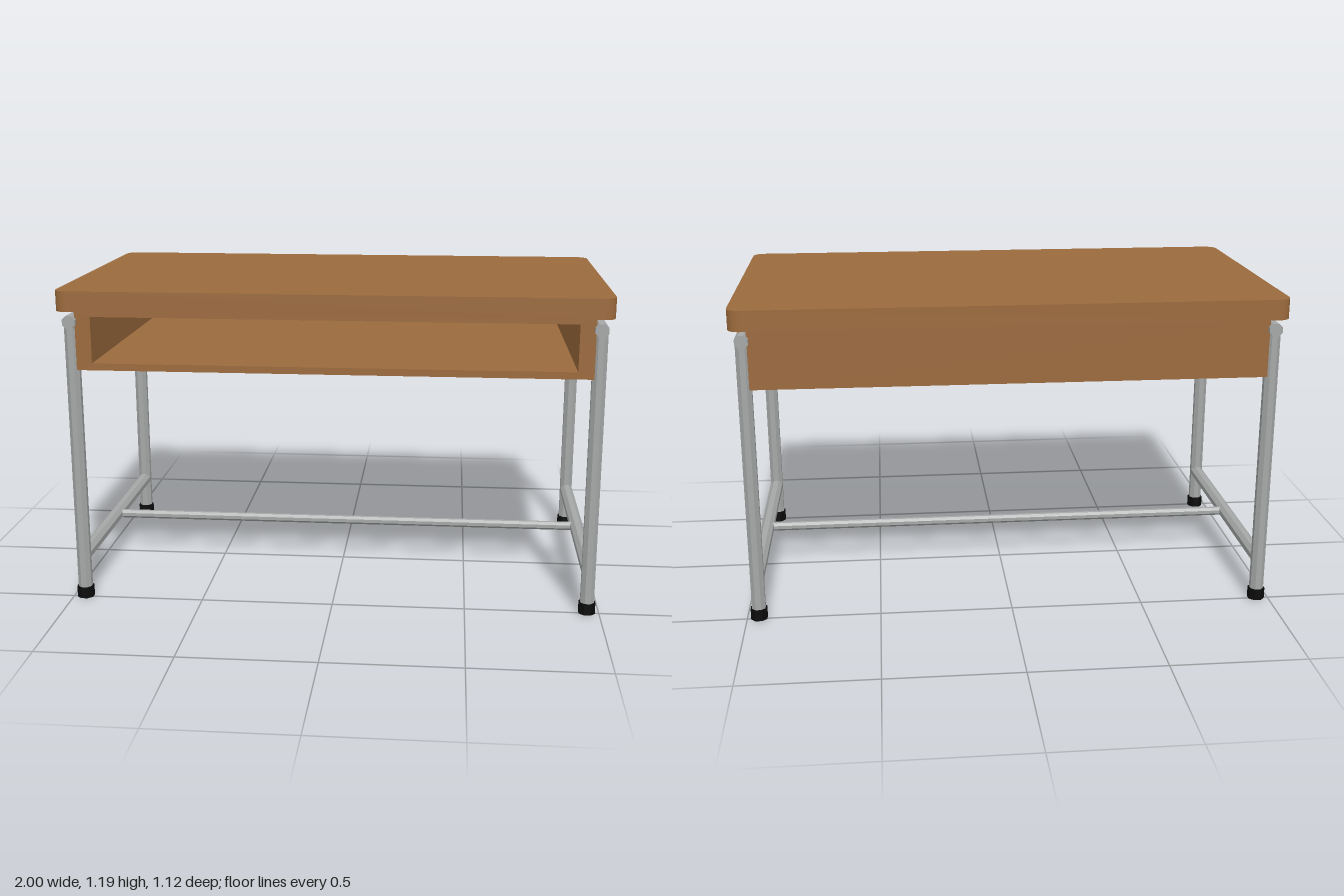
import * as THREE from 'three';

const wood = new THREE.MeshStandardMaterial({ color: 0x9b6a3c, flatShading: true });
wood.name = 'wood';
const metal = new THREE.MeshStandardMaterial({ color: 0xa5a8a7, flatShading: true });
metal.name = 'metal';
const rubber = new THREE.MeshStandardMaterial({ color: 0x0b0b0b, flatShading: true });
rubber.name = 'rubber';

export function createModel() {
  const desk = new THREE.Group();
  desk.name = 'desk';

  const add = (name, geometry, material, x = 0, y = 0, z = 0) => {
    const mesh = new THREE.Mesh(geometry, material);
    mesh.name = name;
    mesh.position.set(x, y, z);
    desk.add(mesh);
    return mesh;
  };

  // Octagonal bar along an axis; half is the distance from centre to a flat side
  const bar = (half, length, axis = 'y') => {
    const r = half / Math.cos(Math.PI / 8);
    const g = new THREE.CylinderGeometry(r, r, length, 8).rotateY(Math.PI / 8);
    if (axis === 'x') g.rotateZ(Math.PI / 2);
    if (axis === 'z') g.rotateX(Math.PI / 2);
    return g;
  };

  // Tabletop with rounded corners
  const W = 1, D = 0.558, R = 0.045;
  const outline = new THREE.Shape();
  outline.absarc(W - R, D - R, R, 0, Math.PI / 2);
  outline.absarc(-W + R, D - R, R, Math.PI / 2, Math.PI);
  outline.absarc(-W + R, -D + R, R, Math.PI, Math.PI * 1.5);
  outline.absarc(W - R, -D + R, R, Math.PI * 1.5, Math.PI * 2);
  const top = new THREE.ExtrudeGeometry(outline, { depth: 0.075, bevelEnabled: false, curveSegments: 4 });
  add('tabletop', top.rotateX(-Math.PI / 2), wood, 0, 1.119, 0);

  // Storage tray, open at the front
  const rect = (Type, x, y0, y1) => new Type([
    new THREE.Vector2(-x, y0), new THREE.Vector2(x, y0),
    new THREE.Vector2(x, y1), new THREE.Vector2(-x, y1),
  ]);
  const frame = rect(THREE.Shape, 0.938, 0.896, 1.119);
  frame.holes.push(rect(THREE.Path, 0.88, 0.922, 1.094));
  const depth = 0.96;
  add('trayWalls', new THREE.ExtrudeGeometry(frame, { depth, bevelEnabled: false }), wood, 0, 0, 0.511 - depth);
  add('trayBack', new THREE.BoxGeometry(1.876, 0.223, 0.062), wood, 0, 1.0075, -0.48);

  // Side frames: legs, feet and rails
  for (const [side, s] of [['left', 1], ['right', -1]]) {
    const x = s * 0.955;
    for (const [end, e] of [['Front', 1], ['Back', -1]]) {
      add(side + end + 'Leg', bar(0.025, 1.06), metal, x, 0.55, e * 0.493);
      add(side + end + 'Foot', bar(0.03, 0.043), rubber, x, 0.0215, e * 0.493);
    }
    add(side + 'TopRail', bar(0.024, 1.056, 'z'), metal, x, 1.075, 0);
    add(side + 'LowerRail', bar(0.025, 0.97, 'z'), metal, x, 0.167, 0);
  }

  // Stretcher joining the side frames
  add('stretcher', bar(0.016, 1.88, 'x'), metal, 0, 0.166, 0);

  return desk;
}
